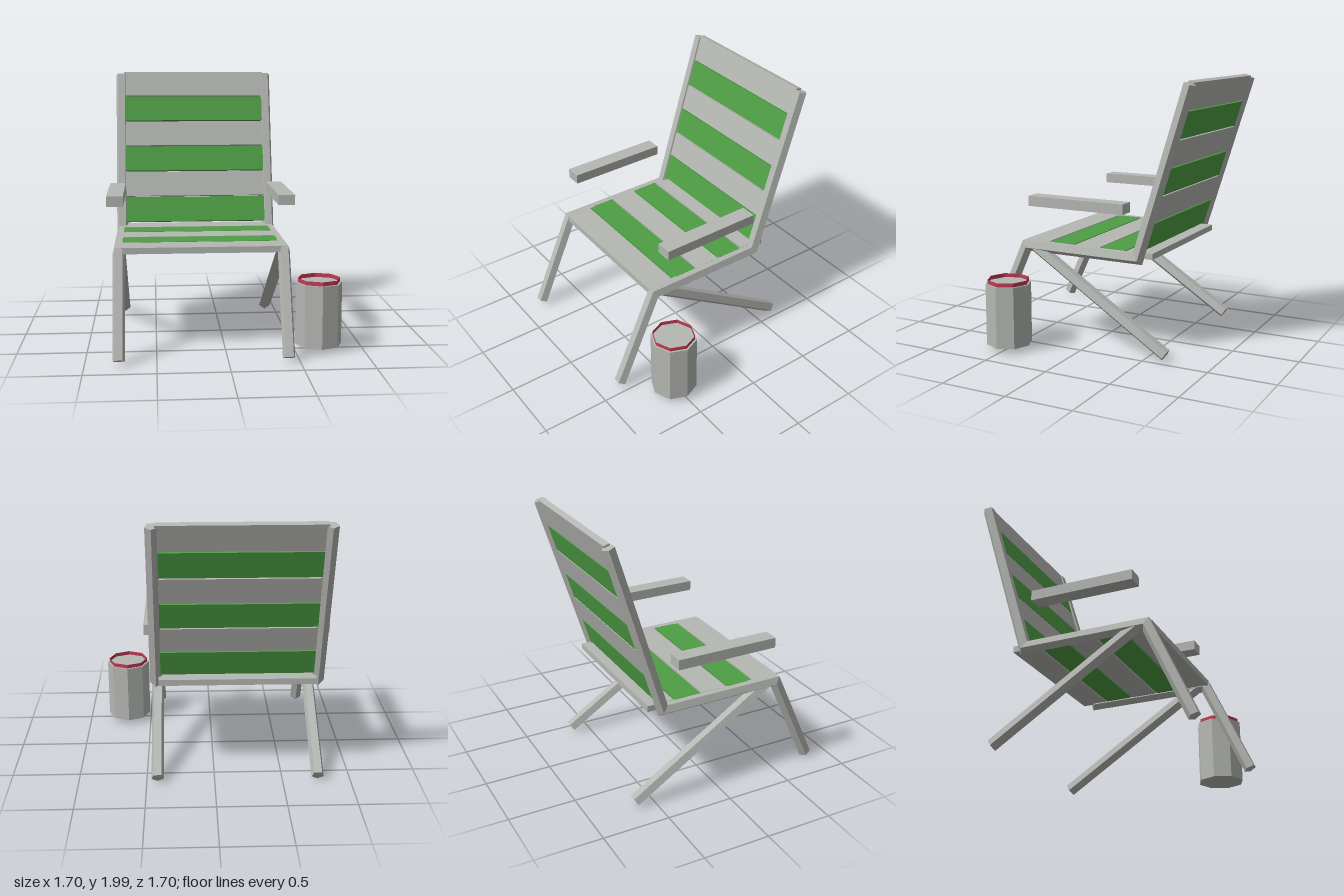
import * as THREE from 'three';

const CHAIR_X = -0.17; // middle of the chair

// Five-sided bar swept with mitred joints along [z, y] points, flat side up/front
function barGeometry(path, radius) {
  const sides = 5;
  const dir = (a, b) => new THREE.Vector2(b[0] - a[0], b[1] - a[1]).normalize();
  const rings = path.map((p, i) => {
    const before = dir(path[Math.max(i - 1, 0)], path[Math.max(i, 1)]);
    const last = path.length - 1;
    const after = dir(path[Math.min(i, last - 1)], path[Math.min(i + 1, last)]);
    const t = before.clone().add(after).normalize();
    const stretch = 1 / t.dot(before);
    return Array.from({ length: sides }, (_, j) => {
      const a = (j / sides) * Math.PI * 2;
      const n = -Math.cos(a) * radius * stretch;
      return [Math.sin(a) * radius, p[1] - t.x * n, p[0] + t.y * n];
    });
  });
  const pos = [];
  const tri = (...pts) => pts.forEach((p) => pos.push(...p));
  for (let i = 0; i < rings.length - 1; i++) {
    for (let j = 0; j < sides; j++) {
      const k = (j + 1) % sides;
      tri(rings[i][j], rings[i + 1][k], rings[i][k]);
      tri(rings[i][j], rings[i + 1][j], rings[i + 1][k]);
    }
  }
  const first = rings[0], end = rings[rings.length - 1];
  for (let j = 1; j < sides - 1; j++) {
    tri(first[0], first[j], first[j + 1]);
    tri(end[0], end[j + 1], end[j]);
  }
  const geo = new THREE.BufferGeometry();
  geo.setAttribute('position', new THREE.Float32BufferAttribute(pos, 3));
  geo.computeVertexNormals();
  return geo;
}

export function createModel() {
  const model = new THREE.Group();
  model.name = 'lawnChair';

  const grey = new THREE.MeshStandardMaterial({ color: 0xb5b7b3, flatShading: true });
  grey.name = 'grey';
  const green = new THREE.MeshStandardMaterial({ color: 0x4f9f45, flatShading: true });
  green.name = 'green';
  const red = new THREE.MeshStandardMaterial({ color: 0xc23a53, flatShading: true, side: THREE.DoubleSide });
  red.name = 'red';

  const add = (name, geo, mat, x, y, z) => {
    const mesh = new THREE.Mesh(geo, mat);
    mesh.name = name;
    mesh.position.set(x, y, z);
    model.add(mesh);
    return mesh;
  };

  // Side frames (front leg, seat rail and back post in one bar), rear legs, armrests
  const frame = barGeometry([[0.815, 0.045], [0.5, 0.744], [-0.425, 0.741], [-0.805, 1.98]], 0.046);
  const rearLeg = barGeometry([[0.42, 0.735], [-0.645, 0.053]], 0.048);
  const armrest = new THREE.BoxGeometry(0.12, 0.075, 0.775);
  for (const [side, s] of [['left', 1], ['right', -1]]) {
    add(side + 'Frame', frame, grey, CHAIR_X + s * 0.592, 0, 0);
    add(side + 'RearLeg', rearLeg, grey, CHAIR_X + s * 0.59, 0, 0);
    add(side + 'Armrest', armrest, grey, CHAIR_X + s * 0.619, 1.098, 0.043);
  }

  // Seat slats, grey at both ends
  const slat = new THREE.BoxGeometry(1.145, 0.045, 0.203);
  for (let i = 0; i < 5; i++) {
    add('seatSlat' + (i + 1), slat, i % 2 ? green : grey, CHAIR_X, 0.758, 0.427 - i * 0.214);
  }

  // Back slats from the top down, leaning back
  const backSlat = new THREE.BoxGeometry(1.145, 0.2, 0.045);
  for (let i = 0; i < 6; i++) {
    const mesh = add('backSlat' + (i + 1), backSlat, i % 2 ? green : grey,
      CHAIR_X, 1.899 - i * 0.2, -0.777 + i * 0.061);
    mesh.rotation.x = -0.295;
  }

  // Eight-sided can with a thin open rim
  add('can', new THREE.CylinderGeometry(0.17, 0.17, 0.46, 8), grey, 0.678, 0.28, 0.508);
  add('canRim', new THREE.CylinderGeometry(0.155, 0.155, 0.03, 8, 1, true), red, 0.678, 0.525, 0.508);

  return model;
}
